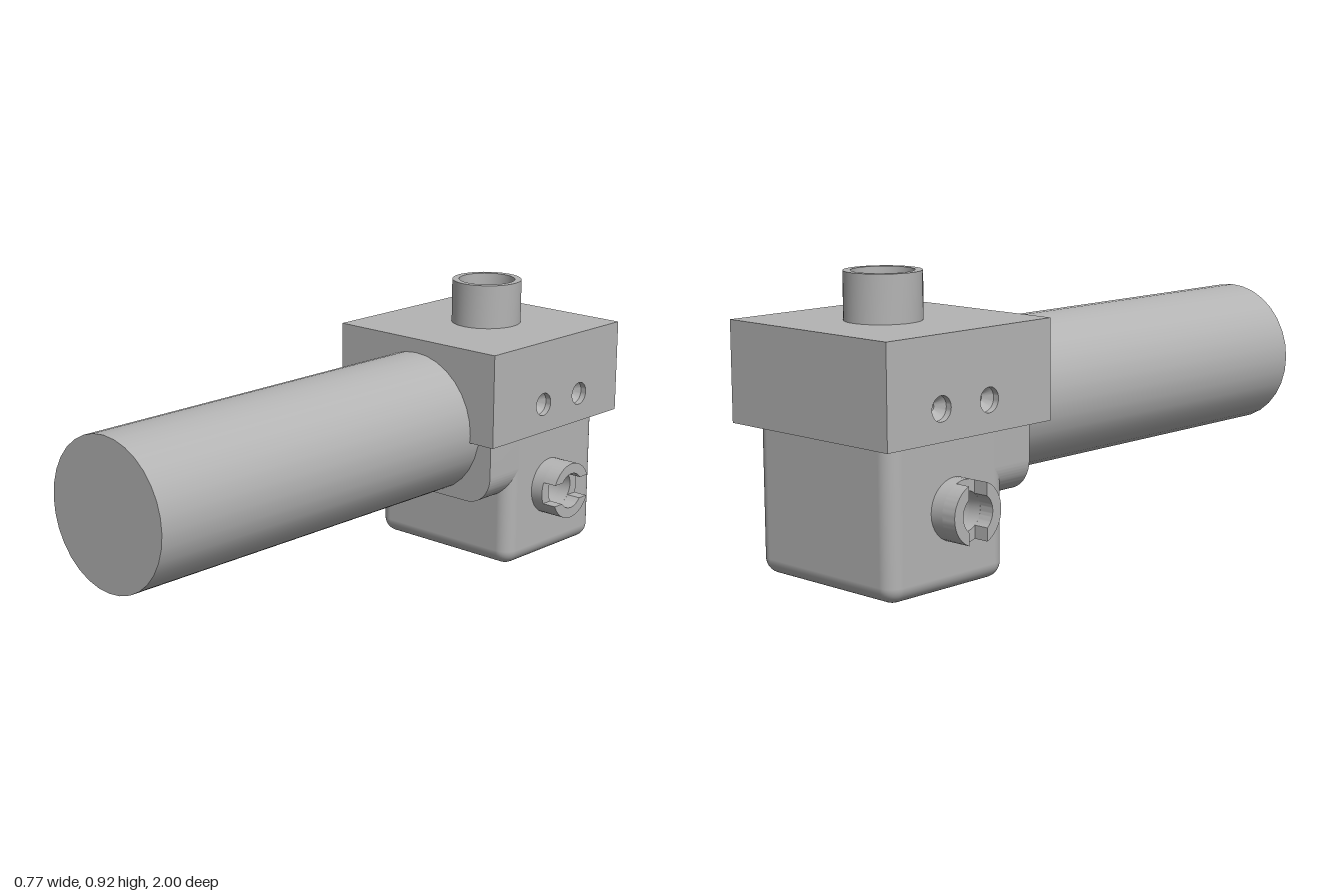
import * as THREE from 'three';
import { toCreasedNormals } from 'three/addons/utils/BufferGeometryUtils.js';
import { RoundedBoxGeometry } from 'three/addons/geometries/RoundedBoxGeometry.js';

const grey = new THREE.MeshStandardMaterial({ color: 0xb4b4b4, side: THREE.DoubleSide });
grey.name = 'plain grey';

function add(parent, name, geometry, x = 0, y = 0, z = 0) {
  const mesh = new THREE.Mesh(geometry, grey);
  mesh.name = name;
  mesh.position.set(x, y, z);
  parent.add(mesh);
  return mesh;
}

// Flat rectangle facing +z, pierced by round holes [x, y, radius]
function panel(w, h, holes = []) {
  const s = new THREE.Shape();
  s.moveTo(-w / 2, -h / 2).lineTo(w / 2, -h / 2).lineTo(w / 2, h / 2).lineTo(-w / 2, h / 2).closePath();
  for (const [x, y, r] of holes) s.holes.push(new THREE.Path().absarc(x, y, r, 0, Math.PI * 2, true));
  return new THREE.ShapeGeometry(s, 16);
}

const extrude = (shape, depth) => toCreasedNormals(
  new THREE.ExtrudeGeometry(shape, { depth, bevelEnabled: false, curveSegments: 16 }), 0.6);

const lathe = (points) => toCreasedNormals(
  new THREE.LatheGeometry(points.map(([r, y]) => new THREE.Vector2(r, y)), 32), 0.5);

// Rounded box whose flat left and right faces are left open
function openRoundedBox(w, h, d, r) {
  const source = new RoundedBoxGeometry(w, h, d, 5, r);
  const p = source.attributes.position, n = source.attributes.normal;
  const positions = [], normals = [];
  for (let i = 0; i < p.count; i += 3) {
    if ([0, 1, 2].every((k) => Math.abs(p.getX(i + k)) > w / 2 - 1e-5)) continue;
    for (let k = i; k < i + 3; k++) {
      positions.push(p.getX(k), p.getY(k), p.getZ(k));
      normals.push(n.getX(k), n.getY(k), n.getZ(k));
    }
  }
  const g = new THREE.BufferGeometry();
  g.setAttribute('position', new THREE.Float32BufferAttribute(positions, 3));
  g.setAttribute('normal', new THREE.Float32BufferAttribute(normals, 3));
  return g;
}

export function createModel() {
  const model = new THREE.Group();
  model.name = 'fitting';
  const HALF = Math.PI / 2;

  // Long round bar
  add(model, 'bar', new THREE.CylinderGeometry(0.24, 0.24, 1.42, 32).rotateX(HALF), 0, 0.484, 0.29);

  // Head block with two drilled recesses on each side and a bore in the top
  const W = 0.67, H = 0.31, D = 0.665, cy = 0.615, cz = -0.6675;
  const portZ = -0.697, boreY = 0.245, boreR = 0.06;
  const head = new THREE.Group();
  head.name = 'headBlock';
  model.add(head);
  add(head, 'headFront', panel(W, H), 0, cy, cz + D / 2);
  add(head, 'headBack', panel(W, H).rotateY(Math.PI), 0, cy, cz - D / 2);
  add(head, 'headTop', panel(W, D, [[0, cz - portZ, boreR]]).rotateX(-HALF), 0, cy + H / 2, cz);
  add(head, 'headBottom', panel(W, D).rotateX(HALF), 0, cy - H / 2, cz);
  const drillZ = [-0.597, -0.79], drillY = 0.557;
  for (const s of [-1, 1]) {
    const holes = drillZ.map((z) => [-s * (z - cz), drillY - cy, 0.038]);
    add(head, 'headSide', panel(D, H, holes).rotateY(s * HALF), s * W / 2, cy, cz);
    for (const z of drillZ) {
      const recess = lathe([[0, -0.06], [0.013, -0.06], [0.013, -0.045], [0.038, -0.02], [0.038, 0]]);
      add(head, 'drilledRecess', recess.rotateZ(-s * HALF), s * W / 2, drillY, z);
    }
  }

  // Stepped top port
  add(model, 'topPort', lathe([[0, 0.7], [boreR, 0.7], [boreR, 0.87], [0.095, 0.87],
    [0.095, 0.917], [0.118, 0.917], [0.118, 0.77]]), 0, 0, portZ);

  // Collar between bar and body
  const collar = new THREE.Shape();
  collar.moveTo(-0.29, 0.48).lineTo(-0.29, 0.34).absarc(-0.19, 0.34, 0.1, Math.PI, 1.5 * Math.PI);
  collar.lineTo(0.19, 0.24).absarc(0.19, 0.34, 0.1, -HALF, 0).lineTo(0.29, 0.48).closePath();
  add(model, 'collar', extrude(collar, 0.15), 0, 0, -0.53);

  // Rounded lower body with a cross bore running through it
  const bw = 0.58, bh = 0.515, bd = 0.47, br = 0.05, bz = -0.715;
  add(model, 'body', openRoundedBox(bw, bh, bd, br), 0, bh / 2, bz);
  add(model, 'crossBore', new THREE.CylinderGeometry(boreR, boreR, bw, 32, 1, true).rotateZ(HALF), 0, boreY, portZ);

  // Slotted bosses; the slots on the two sides are turned a quarter from each other
  const R = 0.095, gap = 0.037, outer = Math.asin(gap / R), inner = Math.asin(gap / boreR);
  const ring = new THREE.Shape().absarc(0, 0, R, 0, Math.PI * 2);
  ring.holes.push(new THREE.Path().absarc(0, 0, boreR, 0, Math.PI * 2, true));
  const prong = new THREE.Shape().absarc(0, 0, R, outer, Math.PI - outer);
  prong.absarc(0, 0, boreR, Math.PI - inner, inner, true).closePath();
  for (const s of [-1, 1]) {
    const side = panel(bd - 2 * br, bh - 2 * br, [[-s * (portZ - bz), boreY - bh / 2, boreR]]);
    add(model, 'bodySide', side.rotateY(s * HALF), s * bw / 2, bh / 2, bz);

    const boss = new THREE.Group();
    boss.name = s > 0 ? 'leftBoss' : 'rightBoss';
    boss.position.set(s * bw / 2, boreY, portZ);
    boss.rotation.y = s * HALF;
    model.add(boss);
    add(boss, 'bossRing', extrude(ring, 0.045));
    for (const turn of [0, Math.PI]) {
      const p = add(boss, 'bossProng', extrude(prong, 0.05), 0, 0, 0.045);
      p.rotation.z = turn + (s > 0 ? 0 : HALF);
    }
  }
  return model;
}
